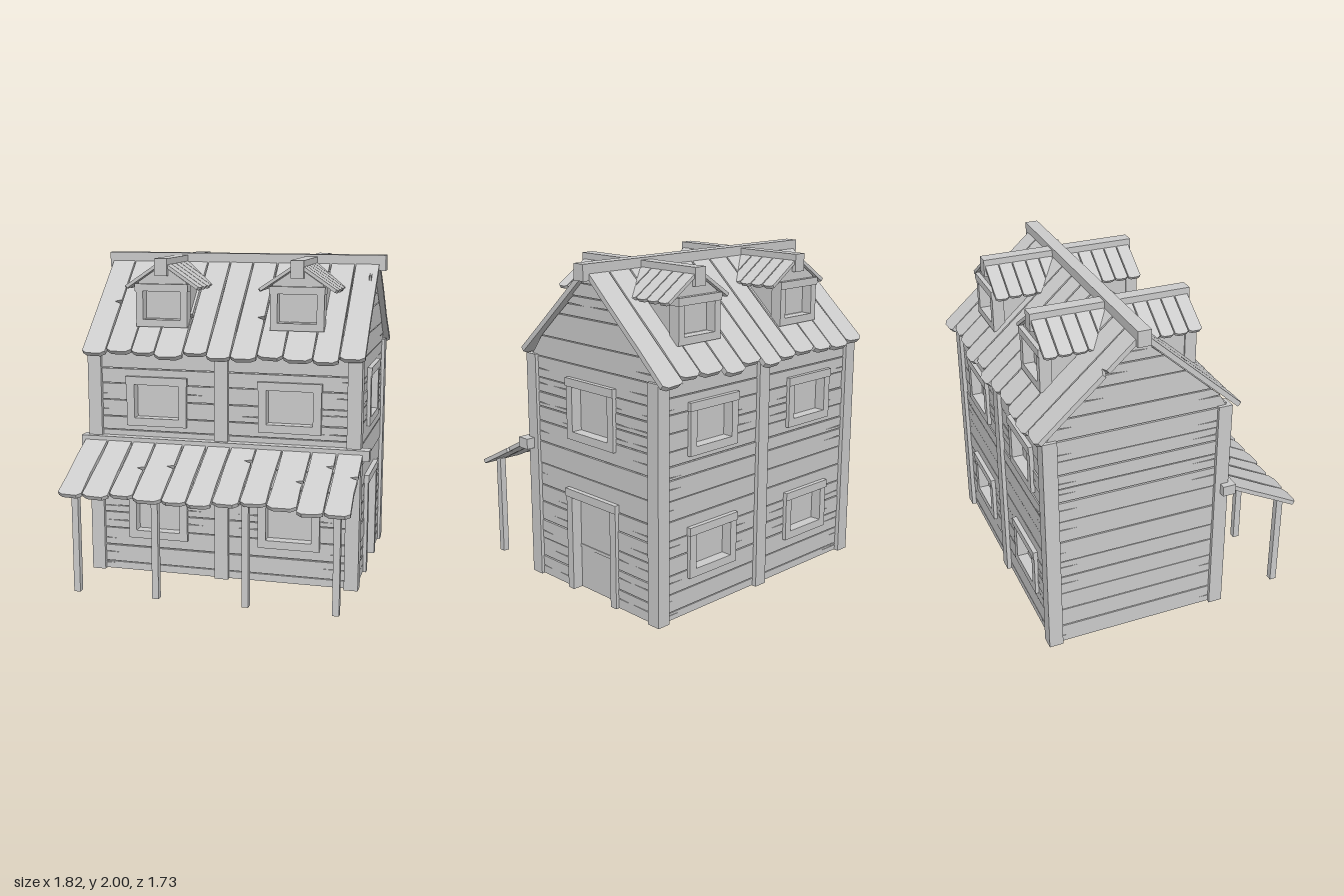
import * as THREE from 'three';

const mat = new THREE.MeshStandardMaterial({ color: 0xcccccc, flatShading: true, side: THREE.DoubleSide });
const CX = -0.01, CZ = -0.215;   // centre of the house body
const HW = 0.86, HD = 0.575;     // half width and half depth over the posts

let seed = 7;
const rnd = () => (seed = (seed * 16807) % 2147483647) / 2147483647;
const jit = (a) => (rnd() * 2 - 1) * a;

// Box given by its ranges on each axis
function box(parent, name, x0, x1, y0, y1, z0, z1) {
  const m = new THREE.Mesh(new THREE.BoxGeometry(x1 - x0, y1 - y0, z1 - z0), mat);
  m.position.set((x0 + x1) / 2, (y0 + y1) / 2, (z0 + z1) / 2);
  m.name = name;
  parent.add(m);
  return m;
}

// Flat outline given thickness from z0 to z1
function slab(parent, name, pts, z0, z1, hole) {
  const shape = new THREE.Shape(pts.map(([x, y]) => new THREE.Vector2(x, y)));
  if (hole) shape.holes.push(new THREE.Path(hole.map(([x, y]) => new THREE.Vector2(x, y))));
  const geo = new THREE.ExtrudeGeometry(shape, { depth: z1 - z0, bevelEnabled: false });
  const m = new THREE.Mesh(geo, mat);
  m.position.z = z0;
  m.name = name;
  parent.add(m);
  return m;
}

// Row of worn boards running down from a ridge line; its top face passes through the ridge
function boardSlope(name, edges, run, drop, thick, wobble, cut) {
  const g = new THREE.Group();
  g.name = name;
  const tilt = new THREE.Group();
  tilt.rotation.x = -Math.atan2(run, drop);
  g.add(tilt);
  const L = Math.hypot(run, drop);
  for (let i = 0; i < edges.length - 1; i++) {
    const a = edges[i] + 0.003, b = edges[i + 1] - 0.003, c = cut * (b - a);
    const l = L + jit(wobble * 2), w = () => rnd() * wobble * 0.45;
    const pts = [[a + w(), 0], [a + w(), -l * 0.35], [a + w(), -l * 0.7], [a, -l + c * 0.6],
      [a + c, -l], [b - c, -l + jit(wobble * 0.5)], [b, -l + c * 0.6], [b - w(), -l * 0.65]];
    // Chipped notch on some boards
    if (wobble > 0.008 && rnd() > 0.45) {
      const n = -l * (0.25 + rnd() * 0.35);
      pts.push([b - w() * 0.5, n - 0.03], [b - 0.045, n - 0.012], [b - w() * 0.5, n]);
    }
    pts.push([b - w(), 0]);
    slab(tilt, 'board', pts, -thick, 0);
  }
  return g;
}

// Frame around an opening, with a recessed pane
function framedOpening(parent, name, [u0, u1, v0, v1], face, w = 0.05) {
  const g = new THREE.Group();
  g.name = name;
  parent.add(g);
  const z0 = face - 0.05, z1 = face + 0.022;
  const low = v0 > 0 ? v0 - w : v0;
  box(g, 'frameSide', u0 - w, u0, low, v1, z0, z1);
  box(g, 'frameSide', u1, u1 + w, low, v1, z0, z1);
  box(g, 'frameTop', u0 - w - 0.005, u1 + w + 0.005, v1, v1 + w, z0, z1 + 0.006);
  if (v0 > 0) box(g, 'frameSill', u0, u1, v0 - w, v0, z0, z1);
  box(g, 'pane', u0 - 0.01, u1 + 0.01, v0, v1 + 0.01, face - 0.07, face - 0.045);
}

// Boarded wall facing local +z; half(v) is the half width at height v
function boardWall(name, rows, half, face, openings) {
  const g = new THREE.Group();
  g.name = name;
  for (let i = 0; i < rows.length - 1; i++) {
    const v0 = rows[i], v1 = rows[i + 1], mid = (v0 + v1) / 2;
    const cuts = openings.filter((o) => mid > o[2] && mid < o[3]);
    const ends = [null, ...cuts.flatMap((o) => [o[0], o[1]]), null];
    for (let k = 0; k < ends.length; k += 2) {
      const l = (v) => ends[k] ?? -half(v), r = (v) => ends[k + 1] ?? half(v);
      slab(g, 'wallBacking', [[l(v0), v0], [r(v0), v0], [r(v1), v1], [l(v1), v1]], face - 0.06, face - 0.012);
      const b = v0 + 0.003 + rnd() * 0.002, t = v1 - 0.002;
      const pts = [[l(b), b], [r(b), b]];
      // Long splits running in from the board ends
      const s = mid + jit(0.02), d = 0.12 + rnd() * 0.12;
      if (rnd() > 0.4) pts.push([r(s), s - 0.004], [r(s) - d, s], [r(s), s + 0.004]);
      pts.push([r(t), t], [l(t), t]);
      if (rnd() > 0.4) pts.push([l(s), s + 0.004], [l(s) + d * 0.8, s - 0.003], [l(s), s - 0.004]);
      slab(g, 'wallBoard', pts, face - 0.012, face + jit(0.003));
    }
  }
  for (const o of openings) framedOpening(g, o[2] > 0 ? 'window' : 'door', o, face);
  return g;
}

// Dormer pair: one gabled body crossing the roof with a window at each end
function dormer(x) {
  const g = new THREE.Group();
  g.name = 'dormer';
  g.position.set(x, 0, CZ);
  const outline = [[-0.155, 1.45], [0.155, 1.45], [0.155, 1.84], [0, 1.945], [-0.155, 1.84]];
  const o = [-0.12, 0.12, 1.61, 1.785];
  slab(g, 'dormerBody', outline, -0.41, 0.41);
  for (const turn of [0, Math.PI]) {
    const end = new THREE.Group();
    end.name = 'dormerEnd';
    end.rotation.y = turn;
    slab(end, 'dormerFace', outline, 0.41, 0.455,
      [[o[0], o[2]], [o[0], o[3]], [o[1], o[3]], [o[1], o[2]]]);
    framedOpening(end, 'dormerWindow', o, 0.455, 0.045);
    g.add(end);
  }
  const edges = Array.from({ length: 12 }, (_, i) => -0.475 + i * 0.95 / 11);
  for (const side of [-1, 1]) {
    const s = boardSlope('dormerRoof', edges, 0.245, 0.165, 0.02, 0.002, 0.22);
    s.position.y = 1.975;
    s.rotation.y = side * Math.PI / 2;
    g.add(s);
  }
  box(g, 'dormerRidge', -0.04, 0.04, 1.88, 1.986, -0.48, 0.485);
  return g;
}

export function createModel() {
  const model = new THREE.Group();
  model.name = 'house';

  // Walls
  const longRows = [0, 0.05, 0.16, 0.275, 0.38, 0.485, 0.6, 0.72, 0.84, 0.92, 1.005, 1.11, 1.215, 1.31, 1.42];
  const gableRows = [0, 0.12, 0.24, 0.36, 0.48, 0.59, 0.73, 0.87, 1.0, 1.09, 1.18, 1.27, 1.4, 1.53, 1.68, 1.8, 1.92];
  const windows = [];
  for (const [v0, v1] of [[0.275, 0.485], [1.005, 1.215]])
    for (const u of [-0.415, 0.425]) windows.push([u - 0.143, u + 0.143, v0, v1]);
  const longHalf = () => HW - 0.03;
  const gableHalf = (v) => Math.min(HD - 0.03, (1.93 - v) / 0.9);
  const sideOpenings = [[-0.17, 0.17, 0, 0.59], [-0.15, 0.16, 1.0, 1.27]];
  const walls = [
    [boardWall('frontWall', longRows, longHalf, HD - 0.025, windows), 0],
    [boardWall('backWall', longRows, longHalf, HD - 0.025, windows), Math.PI],
    [boardWall('leftWall', gableRows, gableHalf, HW - 0.02, sideOpenings), Math.PI / 2],
    [boardWall('rightWall', gableRows, gableHalf, HW - 0.02, []), -Math.PI / 2],
  ];
  for (const [wall, turn] of walls) {
    wall.position.set(CX, 0, CZ);
    wall.rotation.y = turn;
    model.add(wall);
  }

  // Corner and middle posts
  for (const s of [-1, 1]) {
    for (const x of [-HW + 0.043, 0, HW - 0.043]) {
      const z = CZ + s * (HD - 0.043);
      box(model, x ? 'cornerPost' : 'middlePost', CX + x - 0.043, CX + x + 0.043, 0, 1.41, z - 0.043, z + 0.043);
    }
  }

  // Raised floor and dividing wall
  box(model, 'floor', CX - 0.8, CX + 0.8, 0.26, 0.28, CZ - 0.5, CZ + 0.5);
  box(model, 'dividingWall', CX - 0.015, CX + 0.015, 0, 1.4, CZ - 0.5, CZ + 0.5);

  // Main roof
  const edges = [-0.89, -0.735, -0.57, -0.42, -0.24, -0.09, 0.06, 0.22, 0.38, 0.56, 0.715, 0.87];
  for (const turn of [0, Math.PI]) {
    const e = turn ? edges.map((x) => -x).reverse() : edges;
    const s = boardSlope('mainRoof', e, 0.63, 0.565, 0.03, 0.011, 0.2);
    s.position.set(0, 1.98, CZ);
    s.rotation.y = turn;
    model.add(s);
  }
  box(model, 'ridgeBeam', -0.91, 0.905, 1.905, 2.0, CZ - 0.04, CZ + 0.04);

  for (const x of [-0.415, 0.435]) model.add(dormer(x));

  // Porch
  const porch = boardSlope('porchRoof', edges, 0.485, 0.25, 0.026, 0.014, 0.2);
  porch.position.set(0, 0.878, 0.355);
  model.add(porch);
  box(model, 'porchBeam', -0.91, 0.905, 0.82, 0.885, 0.31, 0.392);
  for (const x of [-0.8, -0.3, 0.25, 0.785])
    box(model, 'porchPost', x - 0.02, x + 0.02, 0, 0.638, 0.745, 0.787);

  return model;
}
